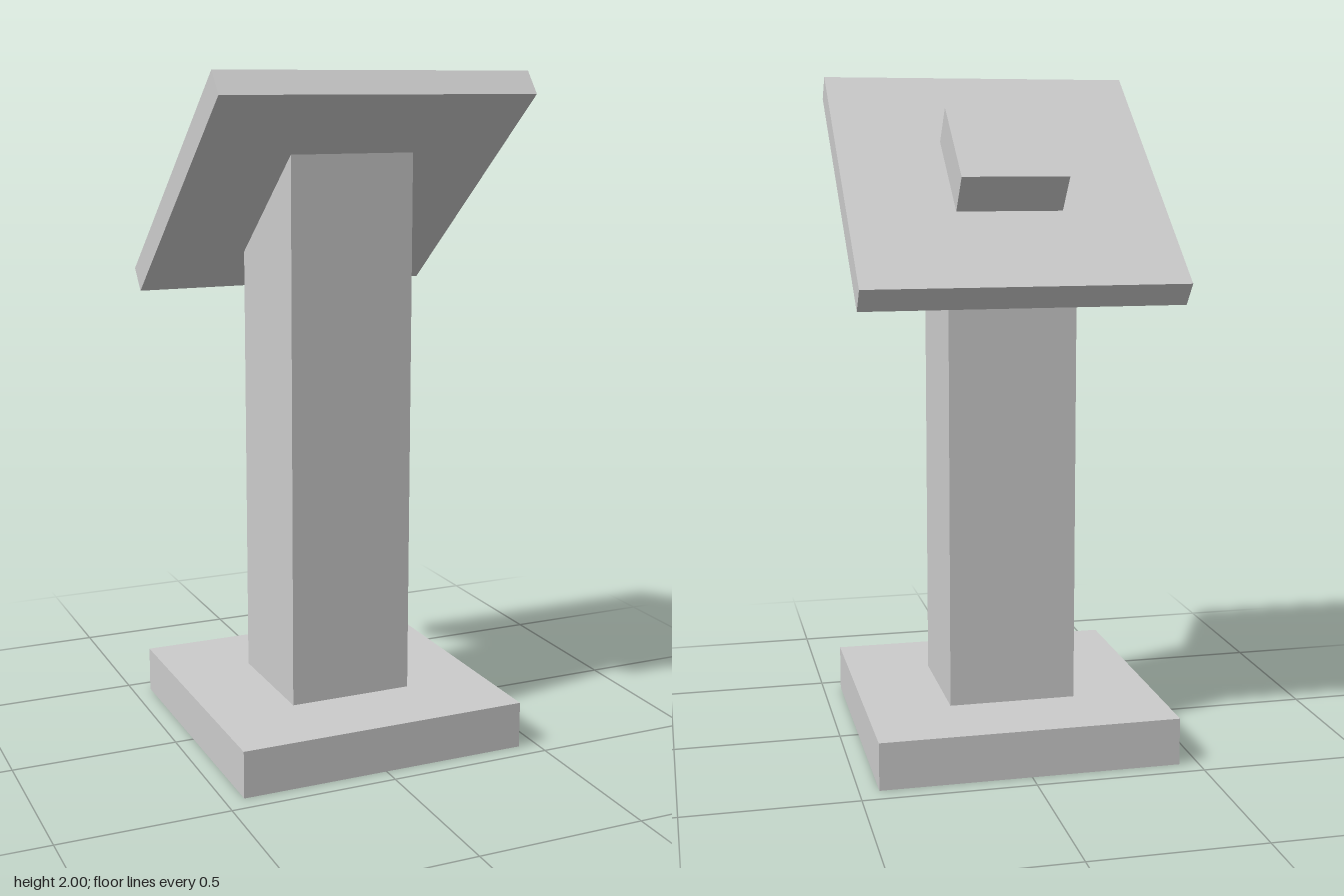
import * as THREE from 'three';

export function createModel() {
  const model = new THREE.Group();
  const material = new THREE.MeshStandardMaterial({ color: 0xcccccc, flatShading: true });
  const tilt = 0.679;

  function addBox(parent, name, w, h, d, y) {
    const mesh = new THREE.Mesh(new THREE.BoxGeometry(w, h, d), material);
    mesh.name = name;
    mesh.position.y = y;
    parent.add(mesh);
    return mesh;
  }

  // Square foot
  addBox(model, 'base', 0.886, 0.14, 0.886, 0.07);

  // Column, its top sheared to meet the underside of the tilted panel
  const column = addBox(model, 'column', 0.38, 1.477, 0.38, 0.8785);
  const p = column.geometry.attributes.position;
  for (let i = 0; i < p.count; i++) {
    if (p.getY(i) > 0) p.setY(i, p.getY(i) + p.getZ(i) * Math.tan(tilt));
  }
  column.geometry.computeVertexNormals();

  // Tilted panel, high at the front, with a raised block on its upper face
  const head = new THREE.Group();
  head.name = 'head';
  head.position.y = 1.67;
  head.rotation.x = -tilt;
  addBox(head, 'panel', 0.948, 0.083, 0.948, 0);
  addBox(head, 'raisedBlock', 0.316, 0.128, 0.316, 0.1055);
  model.add(head);

  return model;
}
